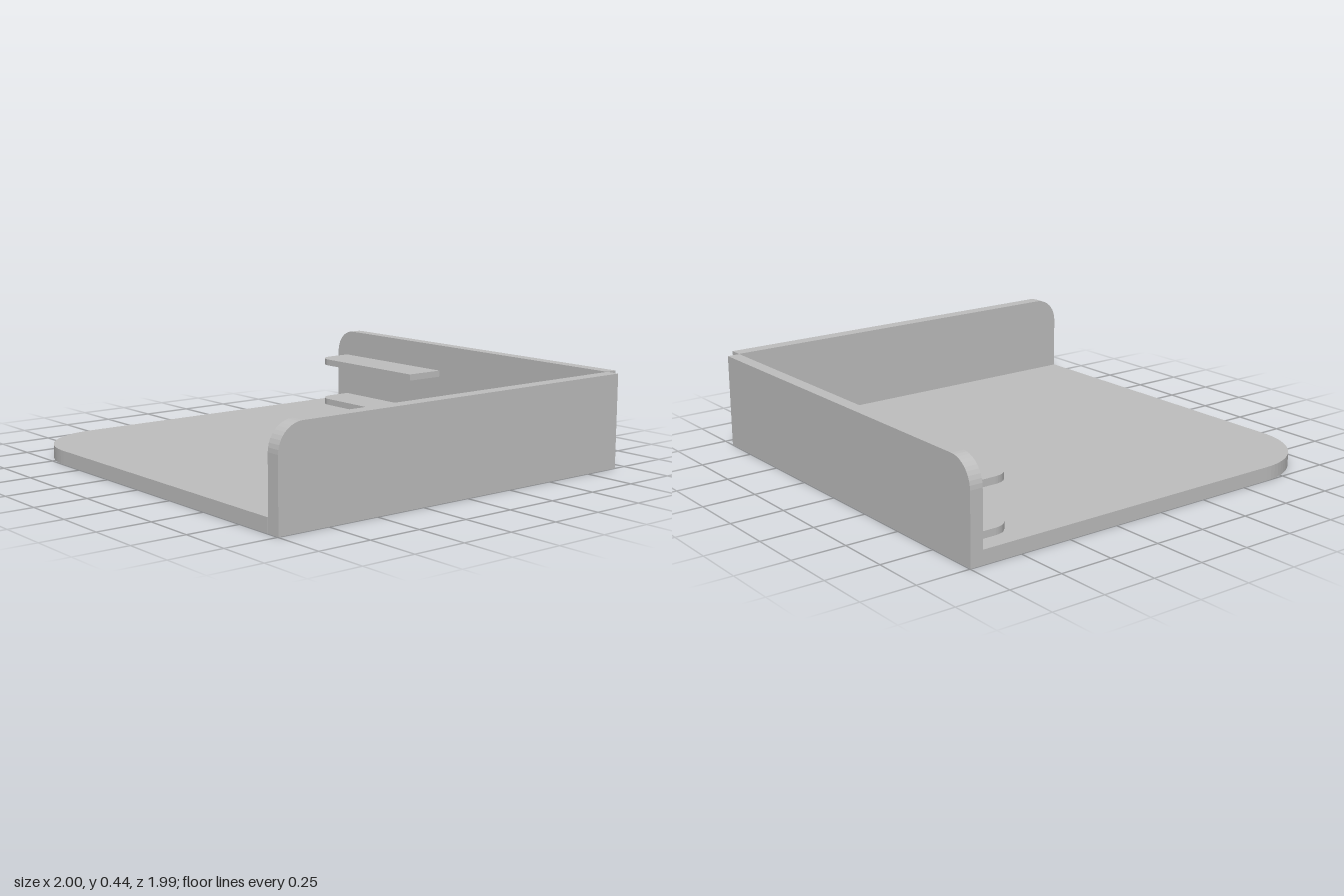
import * as THREE from 'three';

const gray = new THREE.MeshStandardMaterial({ color: 0xbfbfbf });
gray.name = 'plain gray';

// Flat plate in the xy plane whose upper left corner is rounded, extruded along z.
function roundedPlate(name, x0, x1, y0, y1, radius, z0, thickness, segments) {
  const shape = new THREE.Shape();
  shape.moveTo(x0, y0);
  shape.lineTo(x1, y0);
  shape.lineTo(x1, y1);
  shape.lineTo(x0 + radius, y1);
  shape.absarc(x0 + radius, y1 - radius, radius, Math.PI / 2, Math.PI, false);
  shape.closePath();
  const geometry = new THREE.ExtrudeGeometry(shape, {
    depth: thickness, bevelEnabled: false, curveSegments: segments,
  });
  geometry.translate(0, 0, z0);
  const mesh = new THREE.Mesh(geometry, gray);
  mesh.name = name;
  return mesh;
}

// Turns a plate flat: shape y becomes -z, extrusion becomes y.
// A flip first puts the rounded corner at the front (-x, +z).
function layFlat(mesh) {
  mesh.geometry.rotateZ(Math.PI).rotateY(Math.PI).rotateX(-Math.PI / 2);
  return mesh;
}

// Horizontal plate with its front right corner rounded.
function horizontalPlate(name, x0, x1, z0, z1, radius, y0, thickness, segments) {
  const mesh = roundedPlate(name, x0, x1, z0, z1, radius, -y0 - thickness, thickness, segments);
  return layFlat(mesh);
}

export function createModel() {
  const model = new THREE.Group();
  model.name = 'cornerTray';

  // Floor, running under the back wall
  model.add(horizontalPlate('floor', -1, 0.931, -0.997, 0.997, 0.35, 0, 0.065, 10));

  // Back wall, rounded at its free upper end
  model.add(roundedPlate('backWall', -1, 0.931, 0.065, 0.44, 0.12, -0.997, 0.06, 5));

  // Side wall, rounded at its upper front end
  const sideWall = roundedPlate('sideWall', -0.997, 0.936, 0, 0.44, 0.12, 0.935, 0.065, 5);
  sideWall.geometry.translate(0, 0, -0.9675).rotateY(Math.PI / 2).translate(0.9675, 0, 0);
  model.add(sideWall);

  // Two small shelves just in front of the back wall
  for (const [name, y] of [['lowerShelf', 0.065], ['upperShelf', 0.28]]) {
    model.add(horizontalPlate(name, -0.91, -0.17, -0.925, -0.722, 0.085, y, 0.032, 5));
  }
  return model;
}
